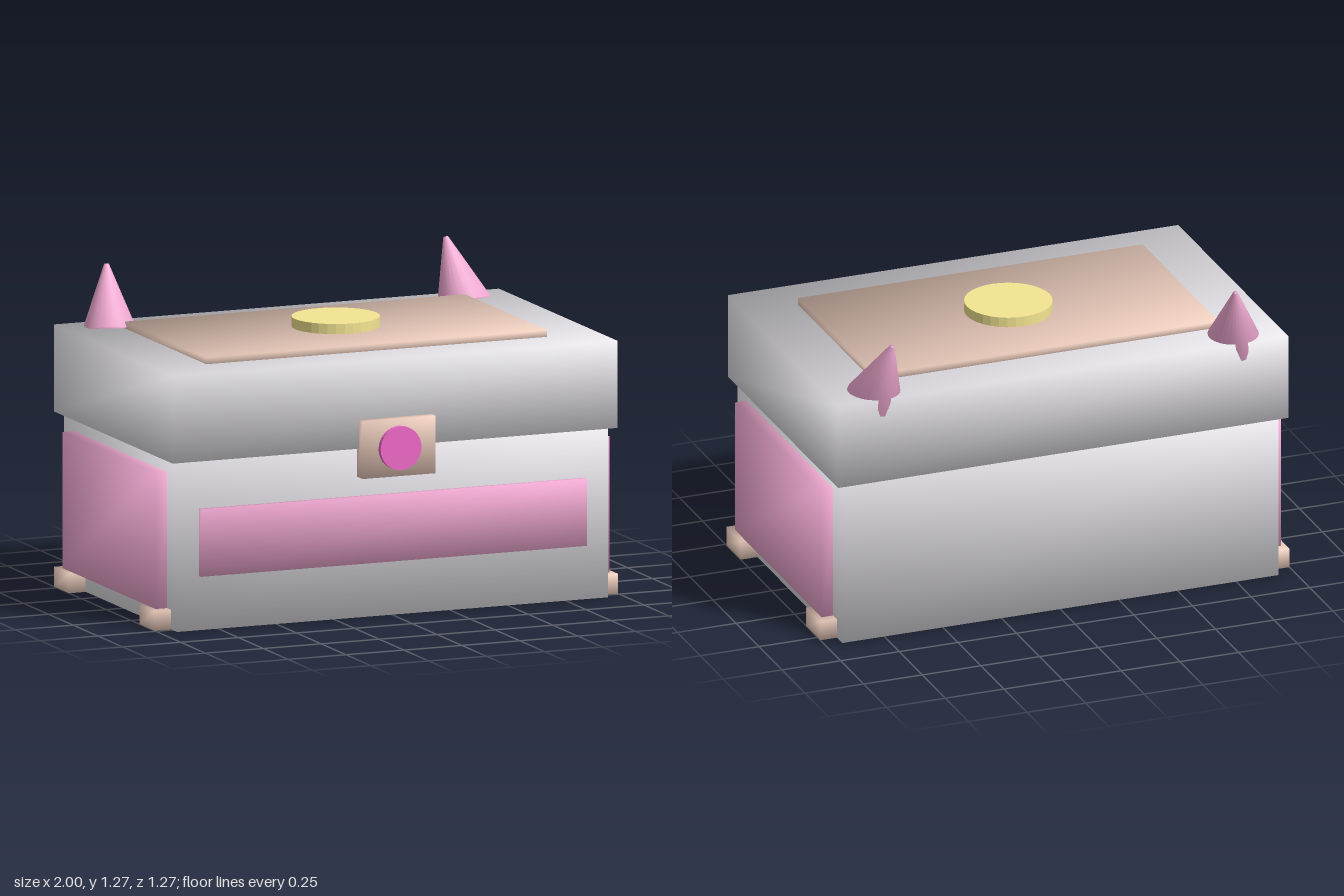
import * as THREE from 'three';
import { mergeVertices } from 'three/addons/utils/BufferGeometryUtils.js';

const material = (color, flatShading = false) => {
  const m = new THREE.MeshStandardMaterial({ color });
  m.flatShading = flatShading;
  return m;
};
const grey = material(0xebe9ee);
const pink = material(0xf6add6);
const peach = material(0xf2d2c2);
const gold = material(0xf3e592, true);
const magenta = material(0xf26ac8, true);

// Shares the corners of a geometry so its shading runs smoothly over the edges
function smooth(geometry) {
  geometry.deleteAttribute('normal');
  geometry.deleteAttribute('uv');
  const merged = mergeVertices(geometry);
  merged.computeVertexNormals();
  return merged;
}

// Box shaded softly: a cube's rounded corner normals are kept at any size
function softBox(width, height, depth) {
  const geometry = new THREE.BoxGeometry(width, height, depth);
  const { position, normal } = geometry.attributes;
  const n = new THREE.Vector3();
  for (let i = 0; i < position.count; i++) {
    n.set(Math.sign(position.getX(i)), Math.sign(position.getY(i)), Math.sign(position.getZ(i))).normalize();
    normal.setXYZ(i, n.x, n.y, n.z);
  }
  return geometry;
}

export function createModel() {
  const model = new THREE.Group();
  model.name = 'chest';

  const add = (name, geometry, mat, x, y, z) => {
    const mesh = new THREE.Mesh(geometry, mat);
    mesh.name = name;
    mesh.position.set(x, y, z);
    model.add(mesh);
    return mesh;
  };
  // Box given by its limits on each axis
  const box = (name, mat, [x0, x1], [y0, y1], [z0, z1]) =>
    add(name, softBox(x1 - x0, y1 - y0, z1 - z0), mat,
      (x0 + x1) / 2, (y0 + y1) / 2, (z0 + z1) / 2);

  // Chest and lid
  box('body', grey, [-0.93, 0.93], [0.001, 0.7], [-0.59, 0.55]);
  box('lid', grey, [-0.96, 0.96], [0.688, 1.04], [-0.62, 0.577]);

  // Panels
  box('frontPanel', pink, [-0.835, 0.83], [0.22, 0.492], [0.53, 0.57]);
  box('lidPlate', peach, [-0.735, 0.735], [1.03, 1.067], [-0.435, 0.39]);

  // Latch and its button
  box('latchPlate', peach, [-0.157, 0.157], [0.572, 0.805], [0.56, 0.615]);
  add('latchButton', new THREE.CylinderGeometry(0.088, 0.088, 0.04, 32), magenta, 0, 0.688, 0.617)
    .rotation.x = Math.PI / 2;

  // Disc on the lid
  add('lidDisc', new THREE.CylinderGeometry(0.176, 0.176, 0.05, 32), gold, 0, 1.083, -0.023);

  // Runners under the chest
  box('frontRunner', peach, [-1, 1], [0, 0.08], [0.335, 0.49]);
  box('backRunner', peach, [-1, 1], [0, 0.08], [-0.53, -0.375]);

  // Side panels and backward-leaning horns, mirrored
  const up = new THREE.Vector3(0, 1, 0);
  for (const s of [1, -1]) {
    const side = s > 0 ? 'left' : 'right';
    box(side + 'SidePanel', pink, s > 0 ? [0.91, 0.98] : [-0.98, -0.91], [0.08, 0.63], [-0.49, 0.45]);

    const base = new THREE.Vector3(s * 0.765, 1.01, -0.517);
    const tip = new THREE.Vector3(s * 0.732, 1.266, -0.625);
    const axis = tip.clone().sub(base);
    const middle = base.clone().add(tip).multiplyScalar(0.5);
    const horn = add(side + 'Horn', smooth(new THREE.CylinderGeometry(0.01, 0.113, axis.length(), 24)),
      pink, middle.x, middle.y, middle.z);
    horn.quaternion.setFromUnitVectors(up, axis.normalize());
  }

  return model;
}
